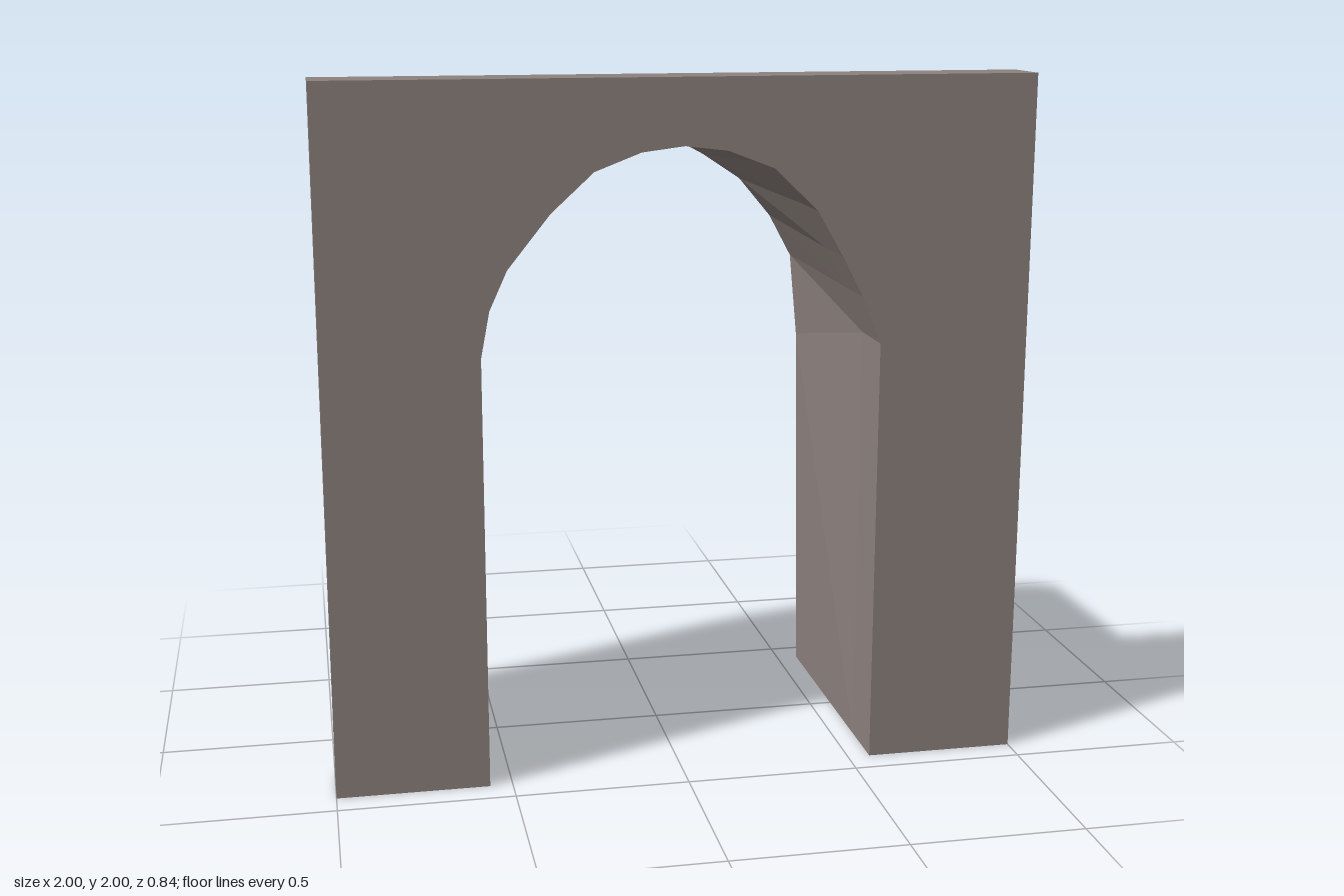
import * as THREE from 'three';

const FRONT = 0.42, WALL_BACK = 0.25, BACK = -0.415;

// Arch profiles, each running from the left foot over the crown to the right foot
const innerFront = [[-0.565, 0], [-0.565, 1.25], [-0.54, 1.38], [-0.49, 1.49], [-0.37, 1.64], [-0.25, 1.75], [-0.12, 1.8],
  [0, 1.815], [0.12, 1.8], [0.25, 1.75], [0.375, 1.63], [0.45, 1.5], [0.51, 1.385], [0.565, 1.25], [0.565, 0]];
const mirrored = half => [...half.map(([x, y]) => [-x, y]), ...half.slice(0, -1).reverse()];
const innerBack = mirrored([[0.565, 0], [0.545, 1.12], [0.52, 1.38], [0.45, 1.51], [0.35, 1.63], [0.23, 1.71], [0.12, 1.77], [0, 1.79]]);
const outerFront = mirrored([[0.635, 0], [0.632, 1.23], [0.605, 1.39], [0.54, 1.54], [0.42, 1.69], [0.28, 1.795], [0.14, 1.842], [0, 1.855]]);
const outerBack = mirrored([[0.63, 0], [0.615, 1.2], [0.59, 1.39], [0.525, 1.54], [0.41, 1.69], [0.275, 1.79], [0.14, 1.84], [0, 1.853]]);

// Solid swept along the arch through four-cornered sections
function sweep(sections) {
  const pos = [];
  const quad = (a, b, c, d) => pos.push(...a, ...b, ...c, ...a, ...c, ...d);
  for (let i = 0; i < sections.length - 1; i++) {
    const s = sections[i], t = sections[i + 1];
    for (let j = 0; j < 4; j++) {
      const k = (j + 1) % 4;
      quad(s[j], t[j], t[k], s[k]);
    }
  }
  quad(...sections[0]);
  quad(...[...sections[sections.length - 1]].reverse());
  const geometry = new THREE.BufferGeometry();
  geometry.setAttribute('position', new THREE.Float32BufferAttribute(pos, 3));
  geometry.computeVertexNormals();
  return geometry;
}

export function createModel() {
  const group = new THREE.Group();
  const stone = new THREE.MeshStandardMaterial({ color: 0x8c817d, flatShading: true });
  const add = (name, geometry) => {
    const mesh = new THREE.Mesh(geometry, stone);
    mesh.name = name;
    group.add(mesh);
    return mesh;
  };

  // Square front wall with the arched doorway cut from its lower edge
  const outline = [[1, 0], [1, 2], [-1, 2], [-1, 0], ...innerFront];
  const shape = new THREE.Shape(outline.map(([x, y]) => new THREE.Vector2(x, y)));
  const wall = new THREE.ExtrudeGeometry(shape, { depth: FRONT - WALL_BACK, bevelEnabled: false });
  add('frontWall', wall).position.z = WALL_BACK;

  // Thin barrel vault behind the wall, narrowing slightly towards the back
  add('vault', sweep(innerFront.map((p, i) => [
    [...outerFront[i], WALL_BACK],
    [...outerBack[i], BACK + 0.005],
    [...innerBack[i], BACK],
    [...p, WALL_BACK],
  ])));

  return group;
}
